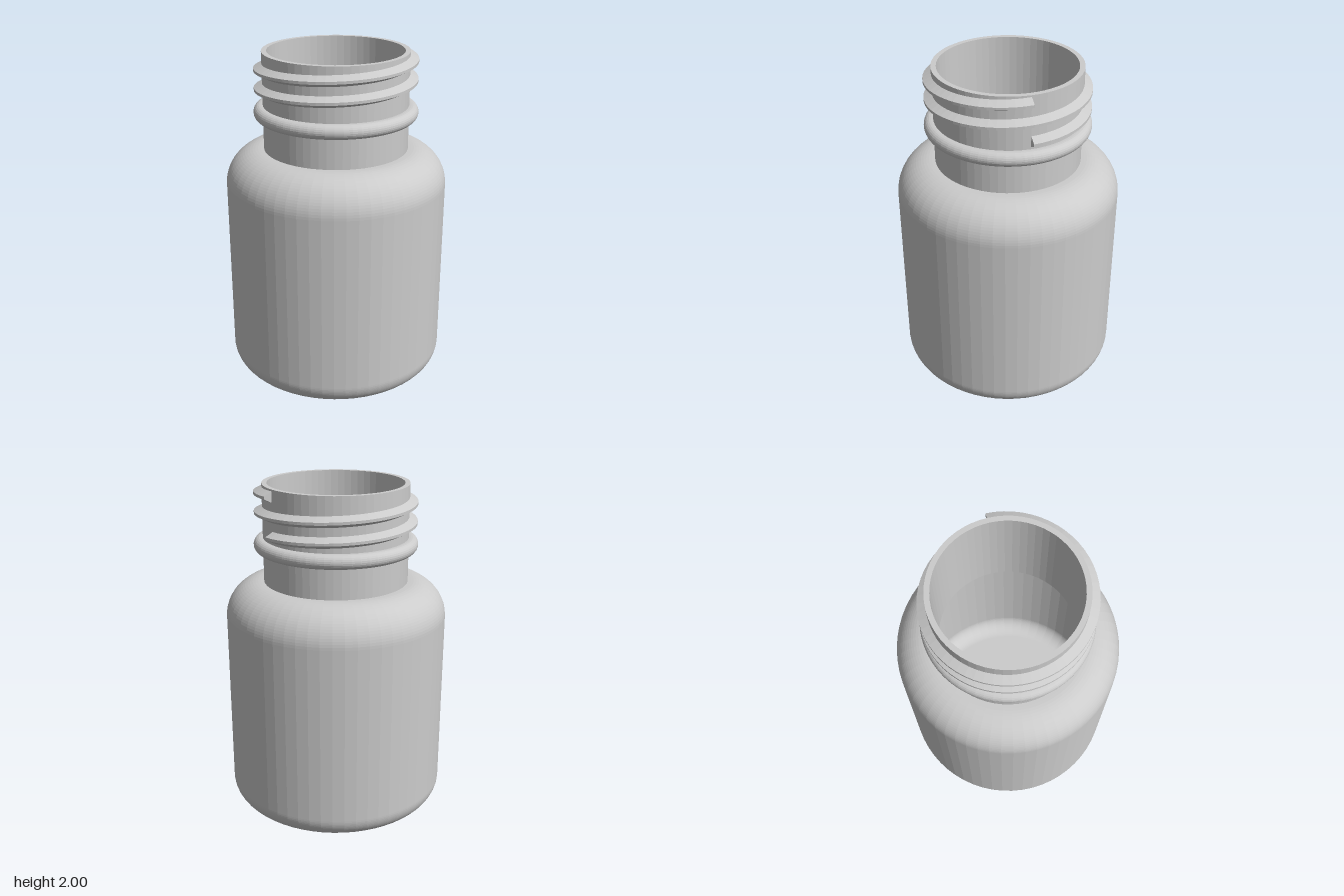
import * as THREE from 'three';

const SIDES = 60;
const material = new THREE.MeshStandardMaterial({ color: 0xcccccc, flatShading: true });

// Points of an arc around (cx, cy), angles in degrees
function arc(cx, cy, r, from, to, steps = 20) {
  return Array.from({ length: steps + 1 }, (_, i) => {
    const a = THREE.MathUtils.degToRad(from + ((to - from) * i) / steps);
    return new THREE.Vector2(cx + r * Math.cos(a), cy + r * Math.sin(a));
  });
}

function addMesh(group, name, geometry) {
  const mesh = new THREE.Mesh(geometry, material);
  mesh.name = name;
  group.add(mesh);
}

// Four-cornered ridge swept along a rising helix, closed at both ends
function helicalThread(profile, startY, pitch, turns) {
  const positions = [], index = [];
  const steps = SIDES * turns, n = profile.length;
  for (let i = 0; i <= steps; i++) {
    const t = (i / SIDES) * Math.PI * 2;
    for (const [r, y] of profile) {
      positions.push(r * Math.cos(t), startY + (pitch * i) / SIDES + y, -r * Math.sin(t));
    }
  }
  for (let i = 0; i < steps; i++) {
    for (let j = 0; j < n - 1; j++) {
      const a = i * n + j, b = a + n;
      index.push(a, b, a + 1, b, b + 1, a + 1);
    }
  }
  const e = steps * n;
  index.push(0, 1, 2, 0, 2, 3, e, e + 2, e + 1, e, e + 3, e + 2);
  const geometry = new THREE.BufferGeometry();
  geometry.setAttribute('position', new THREE.Float32BufferAttribute(positions, 3));
  geometry.setIndex(index);
  geometry.computeVertexNormals();
  return geometry;
}

export function createModel() {
  const group = new THREE.Group();
  group.name = 'bottle';
  const v = (x, y) => new THREE.Vector2(x, y);

  // Hollow shell: up the outside, over the lip, down the inside
  const shell = [
    v(0, 0),
    ...arc(0.52, 0.14, 0.14, -90, 0),
    ...arc(0.45, 1.21, 0.21, 0, 90),
    v(0.43, 1.42),
    v(0.43, 2),
    v(0.4, 2),
    v(0.4, 1.39),
    ...arc(0.45, 1.21, 0.18, 90, 0),
    ...arc(0.52, 0.14, 0.11, 0, -90),
    v(0, 0.03),
  ];
  addMesh(group, 'bottleShell', new THREE.LatheGeometry(shell, SIDES));

  // Rounded collar below the thread
  const collar = [v(0.42, 1.601), ...arc(0.443, 1.643, 0.042, -90, 90, 12), v(0.42, 1.685)];
  addMesh(group, 'neckCollar', new THREE.LatheGeometry(collar, SIDES));

  // Screw thread, two turns
  const ridge = [[0.42, -0.037], [0.478, -0.008], [0.478, 0.008], [0.42, 0.037]];
  addMesh(group, 'screwThread', helicalThread(ridge, 1.73, 0.114, 2));

  return group;
}
